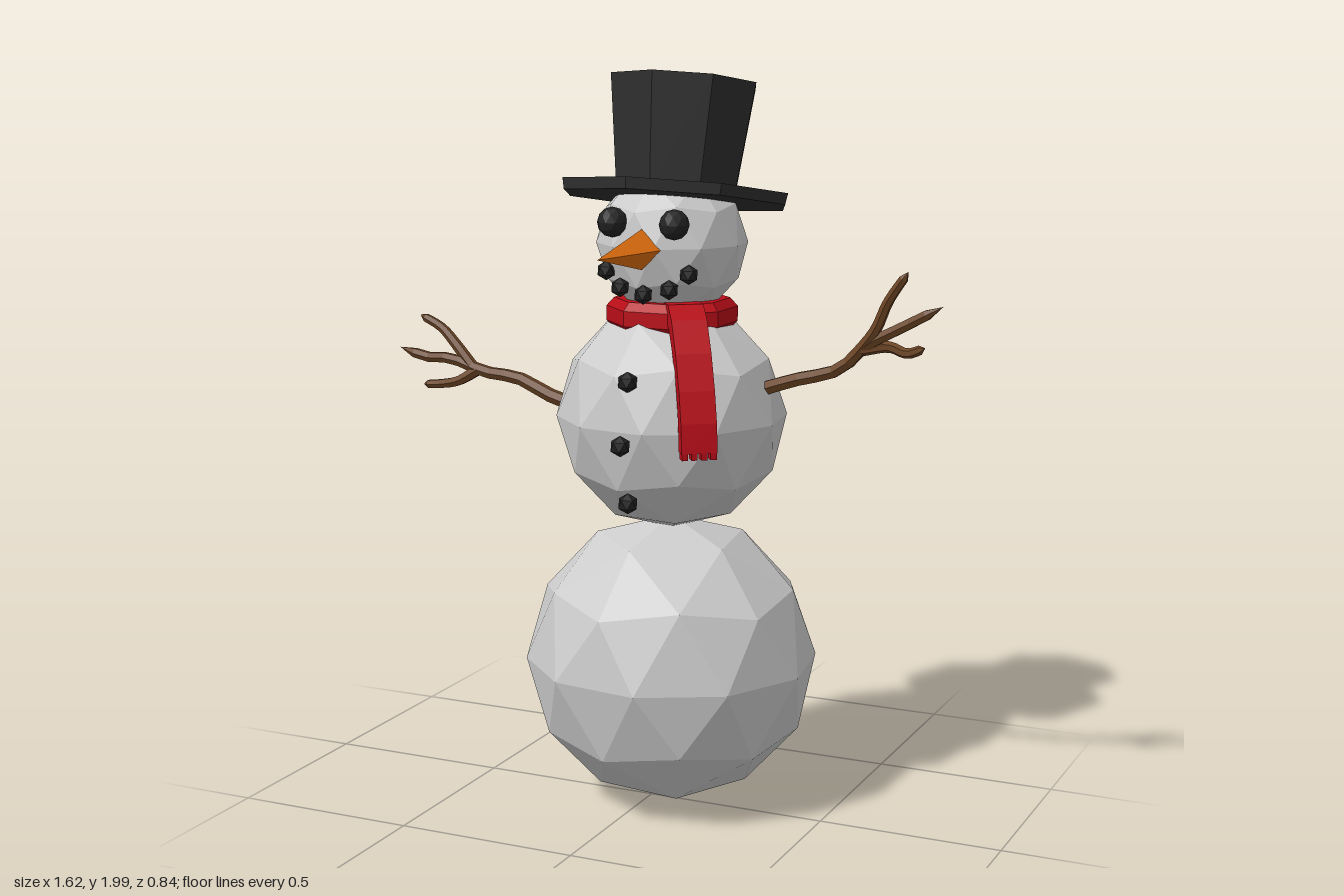
import * as THREE from 'three';

const CX = 0.045, CZ = -0.033; // body axis

const mat = (color) => new THREE.MeshStandardMaterial({ color, flatShading: true });
const snow = mat(0xcccccc), coal = mat(0x222222), felt = mat(0x2e2e2e);
const wool = mat(0xb80d18), carrot = mat(0xe8720f), bark = mat(0x6b4423);

function add(parent, name, geometry, material, x = 0, y = 0, z = 0) {
  const mesh = new THREE.Mesh(geometry, material);
  mesh.name = name;
  mesh.position.set(x, y, z);
  parent.add(mesh);
  return mesh;
}

// Faceted ball with a corner pointing straight up and down
function ball(radius, detail = 1, turn = 0) {
  return new THREE.IcosahedronGeometry(radius, detail)
    .rotateZ(Math.atan(2 / (1 + Math.sqrt(5))))
    .rotateY(turn);
}

// Six-sided tube through the points, narrowing from r0 to r1 and closed at the tip
function twig(points, r0, r1) {
  const curve = new THREE.CatmullRomCurve3(points.map((p) => new THREE.Vector3(...p)));
  const seg = 12, sides = 6;
  const geometry = new THREE.TubeGeometry(curve, seg, 1, sides);
  const pos = geometry.attributes.position, v = new THREE.Vector3();
  for (let i = 0; i <= seg; i++) {
    const center = curve.getPointAt(i / seg);
    const r = i === seg ? 0 : THREE.MathUtils.lerp(r0, r1, i / seg);
    for (let j = 0; j <= sides; j++) {
      const k = i * (sides + 1) + j;
      v.fromBufferAttribute(pos, k).sub(center).multiplyScalar(r).add(center);
      pos.setXYZ(k, v.x, v.y, v.z);
    }
  }
  return geometry;
}

function addArm(parent, name, limb, fingers) {
  const arm = new THREE.Group();
  arm.name = name;
  add(arm, 'branch', twig(limb, 0.021, 0.014), bark);
  fingers.forEach((f) => add(arm, 'twigFinger', twig(f, 0.017, 0.012), bark));
  parent.add(arm);
}

export function createModel() {
  const model = new THREE.Group();
  model.name = 'snowman';

  // Snowballs
  add(model, 'base', ball(0.398, 1, 0.17), snow, CX, 0.4, CZ);
  add(model, 'torso', ball(0.311, 1, 0.17), snow, CX, 1.075, CZ);
  add(model, 'head', ball(0.202, 1, 0.17), snow, CX, 1.54, CZ);

  // Coal eyes, mouth and buttons
  for (const s of [-1, 1]) add(model, 'eye', ball(0.04), coal, CX + s * 0.088, 1.605, 0.15);
  const mouth = [[-0.118, 1.475, 0.125], [-0.07, 1.435, 0.142], [0, 1.42, 0.15],
    [0.07, 1.435, 0.142], [0.118, 1.475, 0.125]];
  mouth.forEach(([x, y, z]) => add(model, 'mouthCoal', ball(0.026, 0), coal, CX + x, y, z));
  [[1.205, 0.245], [1.045, 0.29], [0.885, 0.245]].forEach(([y, z]) =>
    add(model, 'button', ball(0.028, 0), coal, CX, y, z));

  // Four-sided carrot nose
  add(model, 'nose', new THREE.ConeGeometry(0.053, 0.26, 4).rotateX(Math.PI / 2), carrot,
    CX, 1.538, 0.288);

  // Top hat, tipped backwards
  const hat = new THREE.Group();
  hat.name = 'hat';
  hat.position.set(CX, 1.663, -0.055);
  hat.rotation.x = -0.175;
  add(hat, 'brim', new THREE.CylinderGeometry(0.318, 0.312, 0.03, 8), felt);
  add(hat, 'crown', new THREE.CylinderGeometry(0.206, 0.168, 0.3, 8), felt, 0, 0.15, 0);
  model.add(hat);

  // Scarf: neck ring, hanging tail and fringe
  const scarf = new THREE.Group();
  scarf.name = 'scarf';
  scarf.position.set(CX, 0, CZ);
  const ring = [[0.12, 1.31], [0.155, 1.31], [0.175, 1.33], [0.175, 1.37], [0.155, 1.392],
    [0.12, 1.392], [0.12, 1.31]].map((p) => new THREE.Vector2(...p));
  add(scarf, 'scarfRing', new THREE.LatheGeometry(ring, 8, Math.PI / 8), wool);

  const width = 0.094, turn = -0.94;
  const profile = [[0.12, 1.395], [0.17, 1.395], [0.215, 1.36], [0.268, 1.28], [0.31, 1.19],
    [0.335, 1.11], [0.345, 1.035], [0.308, 1.035], [0.3, 1.11], [0.275, 1.19],
    [0.23, 1.27], [0.18, 1.335], [0.12, 1.35]].map((p) => new THREE.Vector2(...p));
  const tail = new THREE.ExtrudeGeometry(new THREE.Shape(profile),
    { depth: width, bevelEnabled: false }).translate(0, 0, -width / 2).rotateY(turn);
  add(scarf, 'scarfTail', tail, wool);
  for (let i = 0; i < 4; i++) {
    const tassel = new THREE.BoxGeometry(0.03, 0.024, 0.016)
      .translate(0.327, 1.029, (i - 1.5) * 0.025).rotateY(turn);
    add(scarf, 'tassel', tassel, wool);
  }
  model.add(scarf);

  // Stick arms, each with two side twigs
  addArm(model, 'leftArm',
    [[0.27, 1.15, -0.035], [0.4, 1.195, -0.022], [0.53, 1.235, -0.012], [0.6, 1.3, -0.005],
      [0.7, 1.355, 0], [0.81, 1.415, 0.01]],
    [[[0.57, 1.27, -0.008], [0.63, 1.345, 0.004], [0.665, 1.42, 0.012], [0.72, 1.5, 0.02]],
      [[0.59, 1.29, -0.005], [0.66, 1.3, -0.018], [0.71, 1.287, -0.012], [0.76, 1.305, -0.005]]]);
  addArm(model, 'rightArm',
    [[-0.22, 1.075, -0.022], [-0.32, 1.1, -0.027], [-0.42, 1.14, -0.032], [-0.53, 1.15, -0.037],
      [-0.64, 1.18, -0.042], [-0.72, 1.178, -0.046], [-0.812, 1.2, -0.05]],
    [[[-0.57, 1.16, -0.039], [-0.63, 1.22, -0.05], [-0.68, 1.262, -0.06], [-0.75, 1.295, -0.062]],
      [[-0.55, 1.155, -0.037], [-0.61, 1.12, -0.03], [-0.66, 1.108, -0.034], [-0.73, 1.1, -0.04]]]);

  return model;
}
